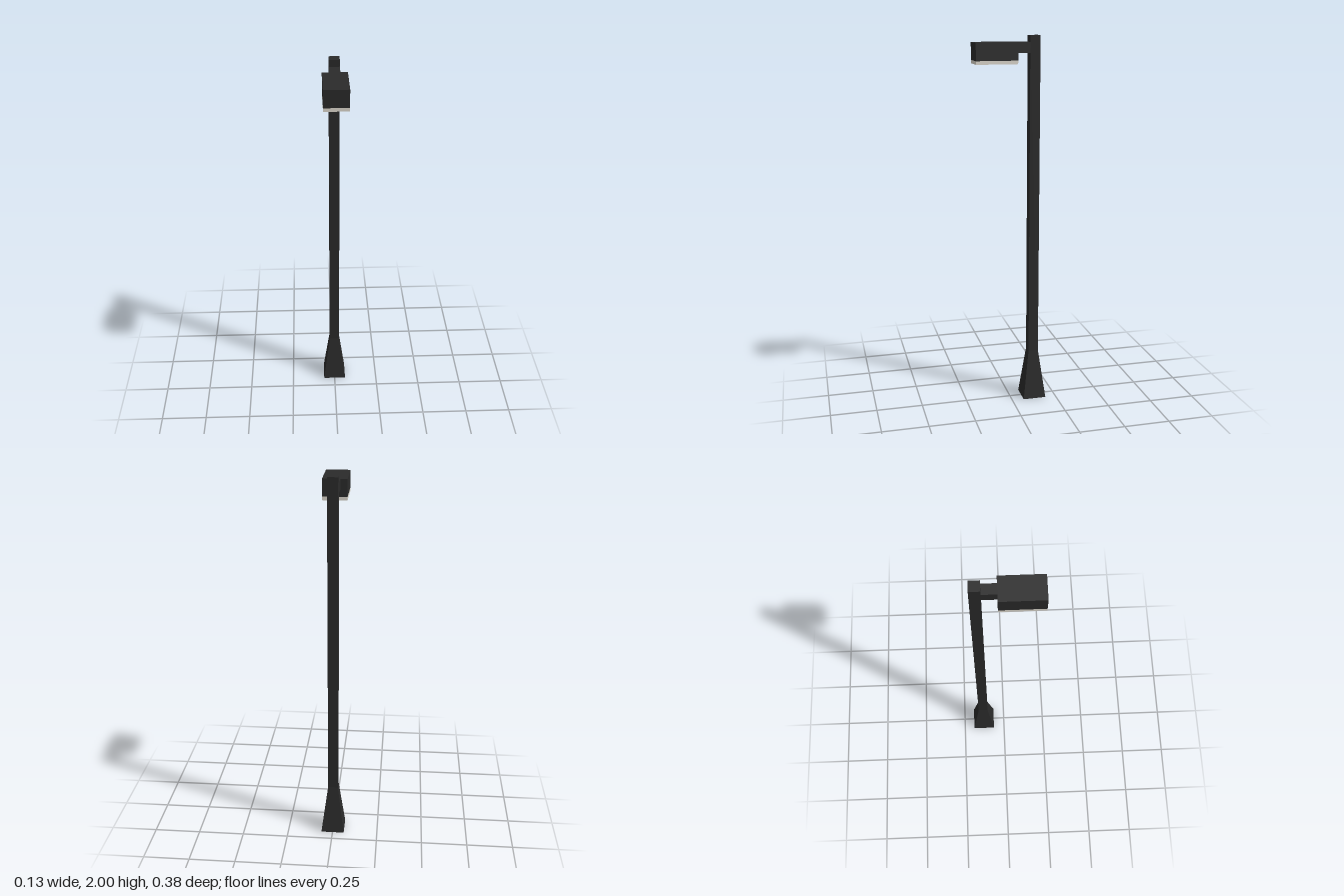
import * as THREE from 'three';

export function createModel() {
  const group = new THREE.Group();
  const dark = new THREE.MeshStandardMaterial({ color: 0x2b2b2b, flatShading: true });
  const darkShell = dark.clone();
  darkShell.side = THREE.DoubleSide;
  const pale = new THREE.MeshStandardMaterial({ color: 0xe2ddd2, flatShading: true });

  // Square post: flared foot, straight shaft, flat cap, open underneath
  const profile = [[0.063, 0], [0.027, 0.275], [0.027, 2], [0, 2]]
    .map(([half, y]) => new THREE.Vector2(half * Math.SQRT2, y));
  const post = new THREE.Mesh(new THREE.LatheGeometry(profile, 4, Math.PI / 4), darkShell);
  post.name = 'post';
  post.position.z = -0.128;
  group.add(post);

  // Box given by its half width and its y and z extents
  const addBox = (name, half, y0, y1, z0, z1, material) => {
    const mesh = new THREE.Mesh(new THREE.BoxGeometry(half * 2, y1 - y0, z1 - z0), material);
    mesh.name = name;
    mesh.position.set(0, (y0 + y1) / 2, (z0 + z1) / 2);
    group.add(mesh);
  };

  // Arm, lamp housing and the light panel beneath it
  addBox('arm', 0.027, 1.912, 1.966, -0.101, -0.028, dark);
  addBox('lampHousing', 0.063, 1.876, 1.966, -0.028, 0.191, dark);
  addBox('lightPanel', 0.063, 1.858, 1.876, -0.028, 0.191, pale);

  return group;
}
